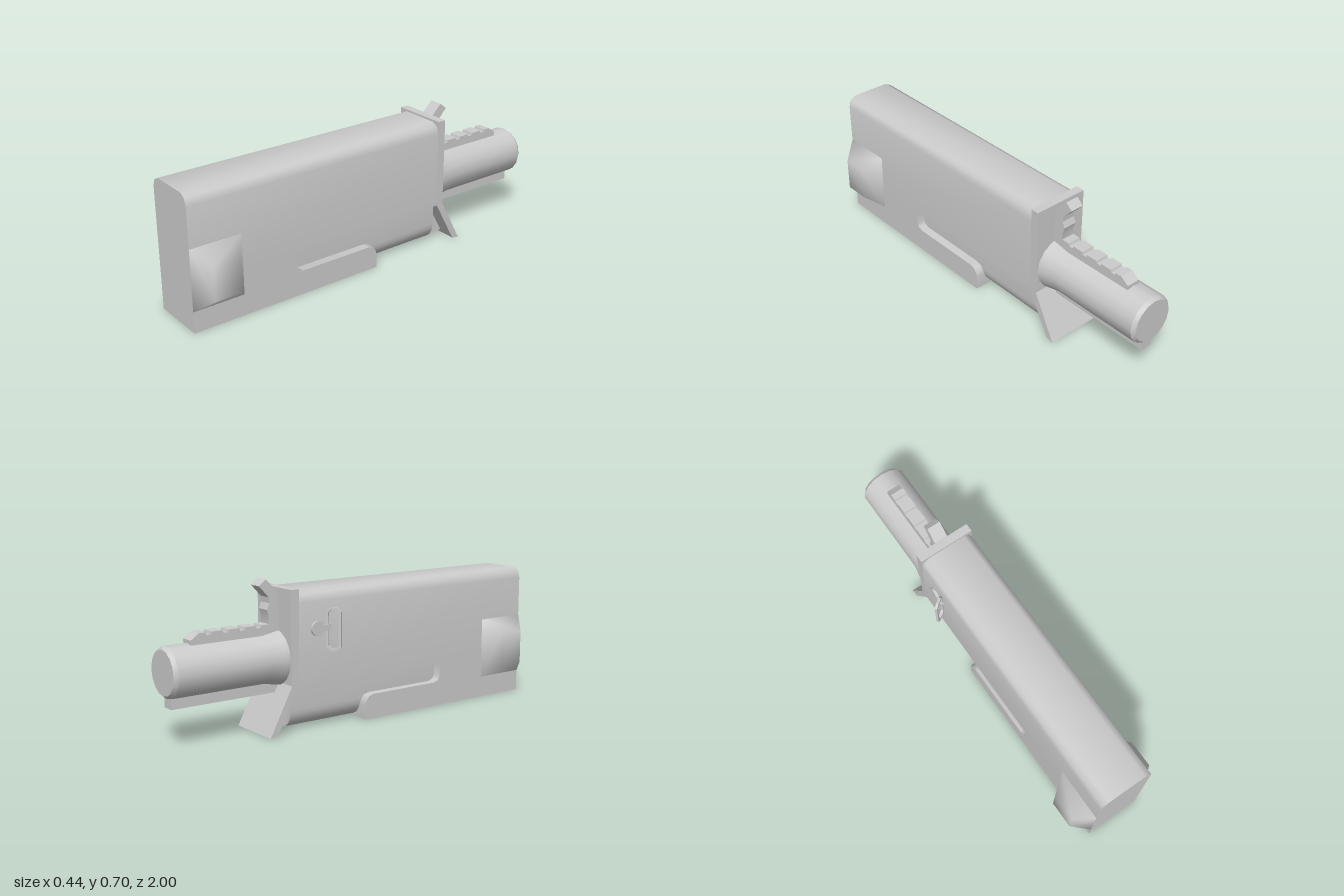
import * as THREE from 'three';
import { toCreasedNormals } from 'three/addons/utils/BufferGeometryUtils.js';

const mat = new THREE.MeshStandardMaterial({ color: 0xcccccc });
const W = 0.138; // half width of the body

function add(parent, name, geometry, crease = 0.9) {
  const mesh = new THREE.Mesh(crease ? toCreasedNormals(geometry, crease) : geometry, mat);
  mesh.name = name;
  parent.add(mesh);
  return mesh;
}

const shapeOf = pts => new THREE.Shape(pts.map(p => new THREE.Vector2(...p)));

// Side profile of [z, y] points, extruded across x and centred
function acrossX(pts, halfWidth) {
  const shape = shapeOf(pts.map(([z, y]) => [-z, y]));
  return new THREE.ExtrudeGeometry(shape, { depth: halfWidth * 2, bevelEnabled: false })
    .translate(0, 0, -halfWidth).rotateY(Math.PI / 2);
}

// Cross-section of right-half [x, y] points, mirrored and extruded from z0 to z1
function alongZ(half, z0, z1) {
  const mirrored = half.map(([x, y]) => [-x, y]).reverse();
  return new THREE.ExtrudeGeometry(shapeOf([...half, ...mirrored]), { depth: z1 - z0, bevelEnabled: false })
    .translate(0, 0, z0);
}

// Smooth raised bump growing out of one side of the body
function bulge(side) {
  const base = [[0.105, 0.74], [0.405, 0.74], [0.405, 1], [0.105, 1]];
  const top = [[0.172, 0.805], [0.335, 0.805], [0.335, 0.935], [0.172, 0.935]];
  const pos = [
    ...base.flatMap(([y, z]) => [side * W, y, z]),
    ...top.flatMap(([y, z]) => [side * 0.222, y, z]),
  ];
  const index = [4, 5, 6, 4, 6, 7];
  for (let i = 0; i < 4; i++) {
    const j = (i + 1) % 4;
    index.push(i, j, j + 4, i, j + 4, i + 4);
  }
  if (side < 0) index.reverse();
  const g = new THREE.BufferGeometry();
  g.setAttribute('position', new THREE.Float32BufferAttribute(pos, 3));
  g.setIndex(index);
  g.computeVertexNormals();
  return g;
}

// Octagonal outline of a tall link
function linkOutline(w, h, c) {
  return [[w - c, -h], [w, c - h], [w, h - c], [w - c, h], [c - w, h], [-w, h - c], [-w, c - h], [c - w, -h]];
}

export function createModel() {
  const model = new THREE.Group();
  model.name = 'model';

  // Body: arched upper housing over a lower block with a side slot
  add(model, 'upperBody', alongZ([[W, 0.22], [W, 0.6], [0.128, 0.636], [0.097, 0.653]], -0.42, 1));
  add(model, 'lowerBody', acrossX([
    [1, 0], [1, 0.22], [0.455, 0.22], [0.455, 0.148], [0.445, 0.13], [0.42, 0.12],
    [0.04, 0.12], [0.01, 0.112], [-0.005, 0.09], [-0.01, 0.07], [-0.01, 0],
  ], W));
  for (const side of [-1, 1]) add(model, side > 0 ? 'leftBulge' : 'rightBulge', bulge(side), 0);

  // Round-bottomed sliding grip that runs inside the slot
  const grip = [];
  for (let i = 0; i <= 6; i++) {
    const a = (i / 6) * Math.PI / 2;
    grip.push([0.02 + 0.075 * Math.sin(a), 0.1 - 0.09 * Math.cos(a)]);
  }
  add(model, 'slidingGrip', alongZ([...grip, [0.095, 0.225]], -0.41, 0.46));
  add(model, 'gripNose', acrossX([[-0.4, 0.2], [-0.4, 0.03], [-0.5, 0.03]], 0.06));

  // End plate with its slanted lower guard
  add(model, 'endPlate', acrossX([
    [-0.388, 0.663], [-0.43, 0.663], [-0.43, 0.225], [-0.548, 0], [-0.507, 0.01], [-0.393, 0.222],
  ], 0.14), 0.3);

  // Barrel with flared root and chamfered muzzle
  const barrel = [[0.134, 0.42], [0.13, 0.45], [0.117, 0.52], [0.117, 0.982], [0.103, 1], [0, 1]];
  add(model, 'barrel', new THREE.LatheGeometry(barrel.map(p => new THREE.Vector2(...p)), 16)
    .rotateX(-Math.PI / 2).translate(0, 0.34, 0), 0.6);
  add(model, 'lowerRail', new THREE.BoxGeometry(0.06, 0.06, 0.55).translate(0, 0.21, -0.705), 0.3);

  // Notched top rail
  const rail = [[-0.42, 0.43], [-0.42, 0.5]];
  for (let i = 0; i < 4; i++) {
    const z = -0.52 - i * 0.085;
    rail.push([z, 0.5], [z - 0.004, 0.488], [z - 0.026, 0.488], [z - 0.03, 0.5]);
  }
  rail.push([-0.838, 0.5], [-0.878, 0.472], [-0.878, 0.43]);
  add(model, 'topRail', acrossX(rail, 0.034), 0.3);

  // Bent lever rising from the rail
  add(model, 'lever', acrossX([
    [-0.425, 0.48], [-0.48, 0.48], [-0.48, 0.53], [-0.49, 0.565], [-0.478, 0.595],
    [-0.48, 0.622], [-0.53, 0.676], [-0.494, 0.705], [-0.438, 0.65], [-0.425, 0.62],
  ], 0.034), 0.3);

  // Sling swivel on one side: stud, pin and angled link
  const swivel = new THREE.Group();
  swivel.name = 'slingSwivel';
  model.add(swivel);
  add(swivel, 'stud', new THREE.CylinderGeometry(0.035, 0.035, 0.02, 12)
    .rotateZ(Math.PI / 2).translate(-0.14, 0.475, -0.29));
  add(swivel, 'pin', new THREE.BoxGeometry(0.012, 0.03, 0.06).translate(-0.145, 0.475, -0.25), 0.3);
  const link = shapeOf(linkOutline(0.036, 0.102, 0.02));
  link.holes.push(new THREE.Path(linkOutline(0.025, 0.091, 0.015).map(p => new THREE.Vector2(...p))));
  const loop = add(swivel, 'swivelLink',
    new THREE.ExtrudeGeometry(link, { depth: 0.012, bevelEnabled: false }).translate(0, 0, -0.006), 0.3);
  loop.position.set(-0.166, 0.467, -0.216);
  loop.rotation.y = Math.PI + 0.605;

  return model;
}
